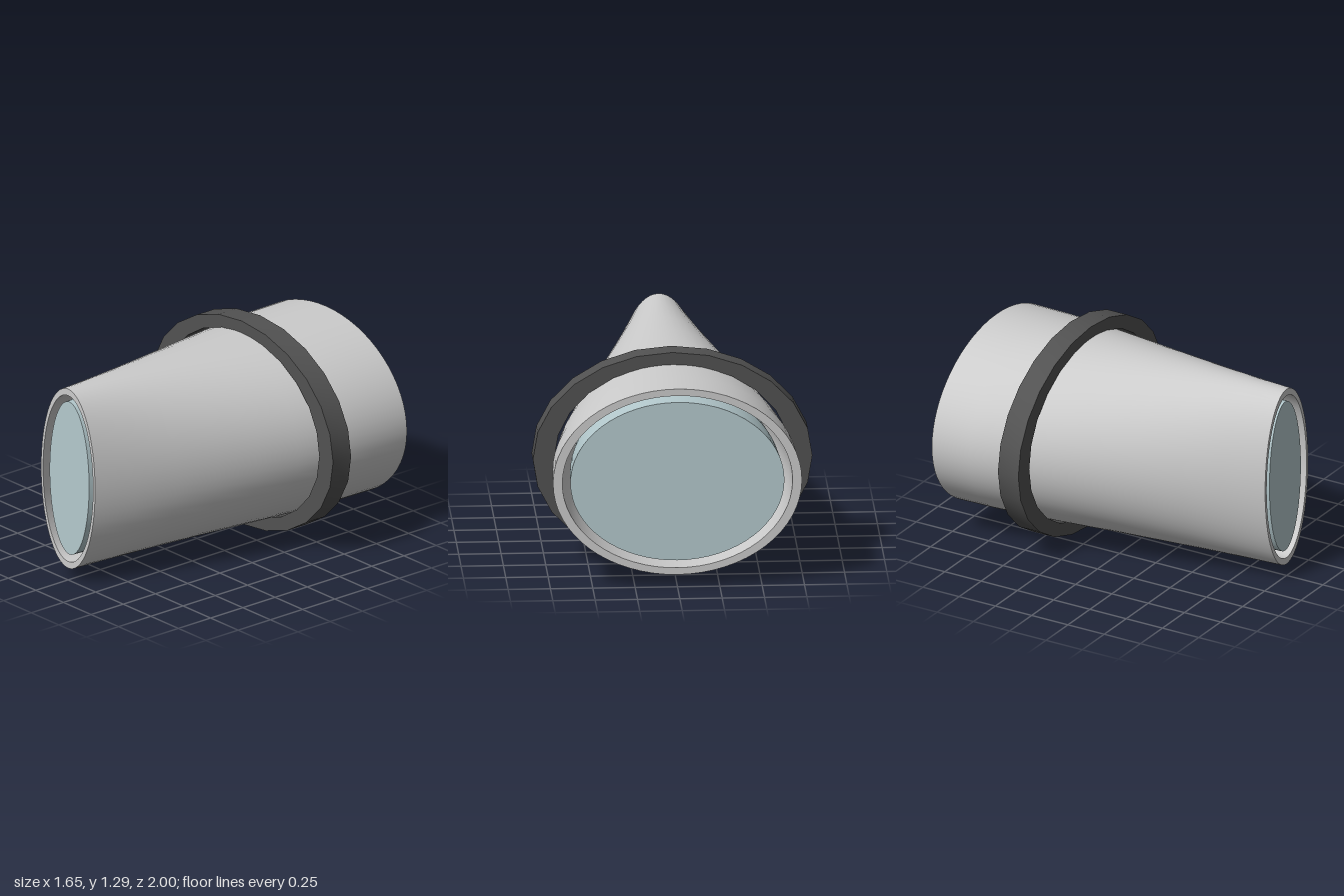
import * as THREE from 'three';
import { mergeGeometries } from 'three/addons/utils/BufferGeometryUtils.js';

const CENTER_Y = 0.645;

// Surface through elliptical sections [z, rx, ry]; sections run front to back for an outward face.
function loft(sections, segs = 64) {
  const pos = [], index = [];
  for (const [z, rx, ry] of sections) {
    for (let i = 0; i < segs; i++) {
      const a = (i / segs) * Math.PI * 2;
      pos.push(Math.cos(a) * rx, Math.sin(a) * ry, z);
    }
  }
  for (let s = 0; s < sections.length - 1; s++) {
    for (let i = 0; i < segs; i++) {
      const j = (i + 1) % segs;
      const a = s * segs + i, b = s * segs + j, c = a + segs, d = b + segs;
      index.push(a, c, b, b, c, d);
    }
  }
  const geo = new THREE.BufferGeometry();
  geo.setAttribute('position', new THREE.Float32BufferAttribute(pos, 3));
  geo.setIndex(index);
  geo.computeVertexNormals();
  return geo;
}

// Closed sleeve: outer wall, back rim, inner wall and front rim, each with sharp borders.
function sleeve(outer, inner, segs) {
  const last = outer.length - 1;
  return mergeGeometries([
    loft(outer, segs),
    loft([outer[last], inner[last]], segs),
    loft([...inner].reverse(), segs),
    loft([inner[0], outer[0]], segs),
  ]);
}

// Solid core: side wall with two flat end caps.
function core(sections, segs) {
  const last = sections[sections.length - 1], first = sections[0];
  return mergeGeometries([
    loft(sections, segs),
    loft([[first[0], 0.0001, 0.0001], first], segs),
    loft([last, [last[0], 0.0001, 0.0001]], segs),
  ]);
}

export function createModel() {
  const group = new THREE.Group();
  const shellGrey = new THREE.MeshStandardMaterial({ color: 0xcccccc });
  const collarGrey = new THREE.MeshStandardMaterial({ color: 0x525252 });
  const paleGlass = new THREE.MeshStandardMaterial({ color: 0xb5cace });
  shellGrey.name = 'shellGrey';
  collarGrey.name = 'collarGrey';
  paleGlass.name = 'paleGlass';

  const add = (name, geometry, material) => {
    const mesh = new THREE.Mesh(geometry, material);
    mesh.name = name;
    mesh.position.y = CENTER_Y;
    group.add(mesh);
  };

  // Half widths of the shell along z, narrow at the front
  const widths = [[1, 0.245], [0.75, 0.323], [0.5, 0.402], [0.25, 0.48], [0, 0.553],
    [-0.25, 0.625], [-0.5, 0.685], [-0.75, 0.725], [-1, 0.735]];

  // Hollow tapering shell
  add('shell', sleeve(
    widths.map(([z, w]) => [z, w, 0.57]),
    widths.map(([z, w]) => [z, w * 0.925, 0.528]),
  ), shellGrey);

  // Glass core, just inside both openings
  add('glassCore', core(
    widths.map(([z, w]) => [z * 0.99, w * 0.86 - 0.016 * (1 + z), 0.485]),
  ), paleGlass);

  // Collar around the shell
  add('collar', sleeve(
    [[-0.35, 0.825, 0.645], [-0.49, 0.825, 0.645]],
    [[-0.35, 0.7, 0.57], [-0.49, 0.7, 0.57]],
    24,
  ), collarGrey);

  return group;
}
